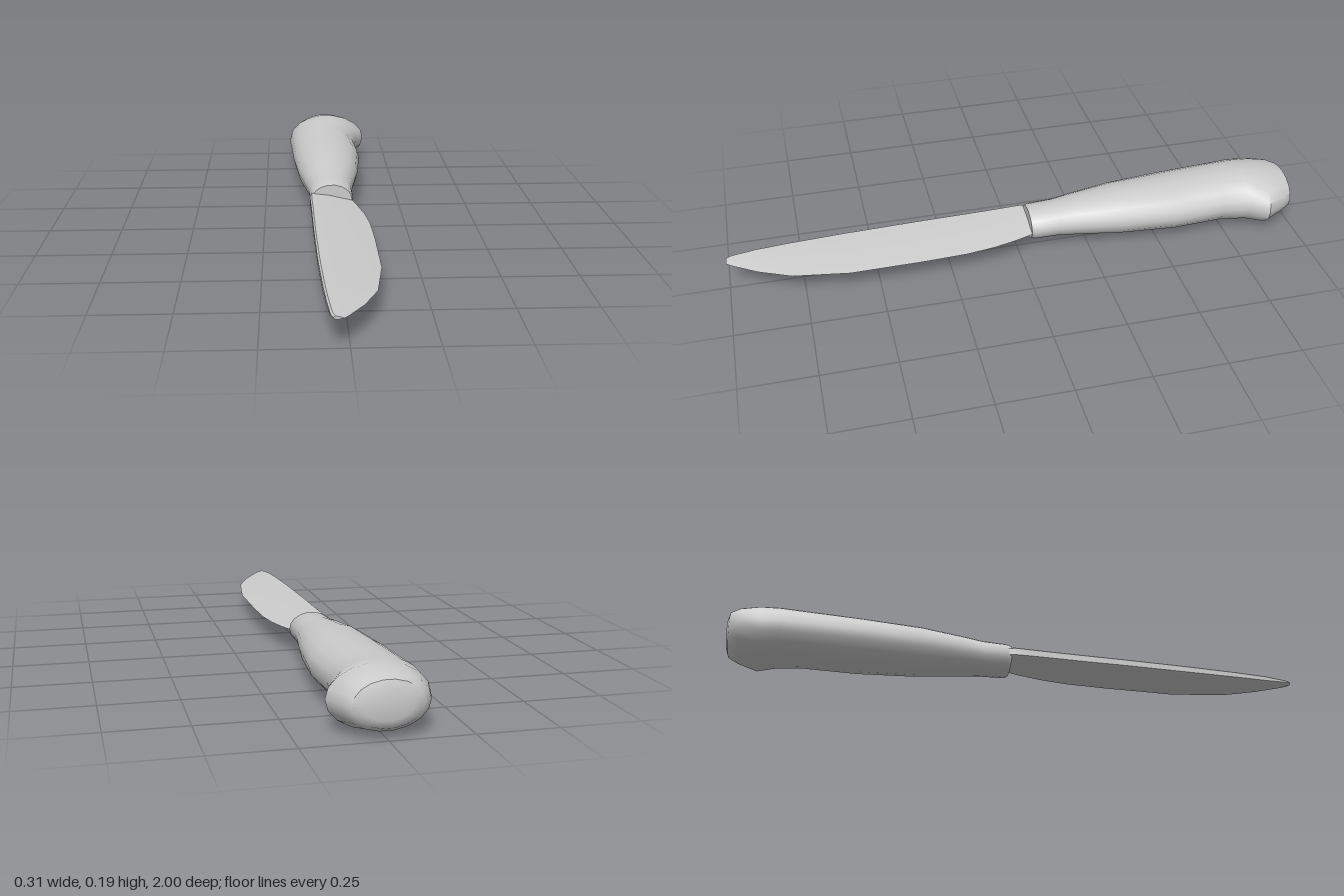
import * as THREE from 'three';
import { toCreasedNormals } from 'three/addons/utils/BufferGeometryUtils.js';

// Skin a list of rings (each counter-clockwise seen from +z, ordered by rising z) and cap both ends.
function loft(rings, crease) {
  const n = rings[0].length;
  const points = rings.flat();
  const index = [];
  for (let i = 0; i < rings.length - 1; i++) {
    for (let j = 0; j < n; j++) {
      const a = i * n + j, b = i * n + (j + 1) % n;
      index.push(a, b, b + n, a, b + n, a + n);
    }
  }
  [rings[0], rings[rings.length - 1]].forEach((ring, end) => {
    const centre = ring.reduce((sum, p) => sum.add(p), new THREE.Vector3()).divideScalar(n);
    const c = points.push(centre) - 1;
    const start = end ? (rings.length - 1) * n : 0;
    for (let j = 0; j < n; j++) {
      const a = start + j, b = start + (j + 1) % n;
      index.push(c, end ? a : b, end ? b : a);
    }
  });
  const geometry = new THREE.BufferGeometry().setFromPoints(points);
  geometry.setIndex(index);
  return toCreasedNormals(geometry, crease);
}

// Oval ring filling the given limits
function oval([z, x0, x1, y0, y1], sides = 18) {
  return Array.from({ length: sides }, (_, j) => {
    const t = (j / sides) * Math.PI * 2;
    return new THREE.Vector3(
      (x0 + x1) / 2 + Math.cos(t) * (x1 - x0) / 2,
      (y0 + y1) / 2 + Math.sin(t) * (y1 - y0) / 2, z);
  });
}

// Wedge ring: thick spine at x0, sharp edge at x1
function wedge([z, x0, x1, bottom, top, edgeY]) {
  const mid = x0 + (x1 - x0) * 0.45;
  return [
    [x1, edgeY],
    [mid, edgeY + (top - edgeY) * 0.72],
    [x0 + 0.006, top],
    [x0, top - 0.005],
    [x0, bottom + 0.004],
    [x0 + 0.006, bottom],
    [mid, bottom - 0.001],
  ].map(([x, y]) => new THREE.Vector3(x, y, z));
}

export function createModel() {
  const group = new THREE.Group();
  const material = new THREE.MeshStandardMaterial({ color: 0xcccccc });
  const add = (name, geometry) => {
    const mesh = new THREE.Mesh(geometry, material);
    mesh.name = name;
    group.add(mesh);
  };

  // Handle, butt to neck, with a bulge towards +x at the butt: z, x range, y range
  add('handle', loft([
    [-1.0, -0.07, 0.075, 0.06, 0.15],
    [-0.992, -0.103, 0.103, 0.036, 0.175],
    [-0.96, -0.132, 0.122, 0.018, 0.186],
    [-0.895, -0.153, 0.153, 0.002, 0.197],
    [-0.83, -0.156, 0.122, 0.009, 0.194],
    [-0.74, -0.15, 0.107, 0.013, 0.19],
    [-0.56, -0.142, 0.118, 0.015, 0.186],
    [-0.36, -0.125, 0.1, 0.02, 0.178],
    [-0.22, -0.103, 0.077, 0.031, 0.163],
    [-0.14, -0.09, 0.066, 0.037, 0.153],
    [-0.055, -0.086, 0.066, 0.039, 0.15],
    [-0.042, -0.081, 0.061, 0.043, 0.146],
  ].map((row) => oval(row)), 0.8));

  // Blade, neck to tip: z, spine x, edge x, bottom y, top y, edge y
  add('blade', loft([
    [-0.07, -0.08, 0.055, 0.085, 0.115, 0.09],
    [-0.03, -0.088, 0.066, 0.083, 0.116, 0.088],
    [0.02, -0.088, 0.08, 0.083, 0.115, 0.086],
    [0.1, -0.086, 0.098, 0.083, 0.114, 0.084],
    [0.2, -0.085, 0.11, 0.082, 0.113, 0.082],
    [0.35, -0.083, 0.115, 0.082, 0.112, 0.081],
    [0.6, -0.077, 0.116, 0.081, 0.11, 0.08],
    [0.79, -0.069, 0.09, 0.082, 0.108, 0.083],
    [0.9, -0.062, 0.045, 0.083, 0.106, 0.087],
    [0.98, -0.054, -0.003, 0.086, 0.101, 0.09],
    [1.0, -0.047, -0.016, 0.089, 0.099, 0.092],
  ].map(wedge), 0.5));

  return group;
}
